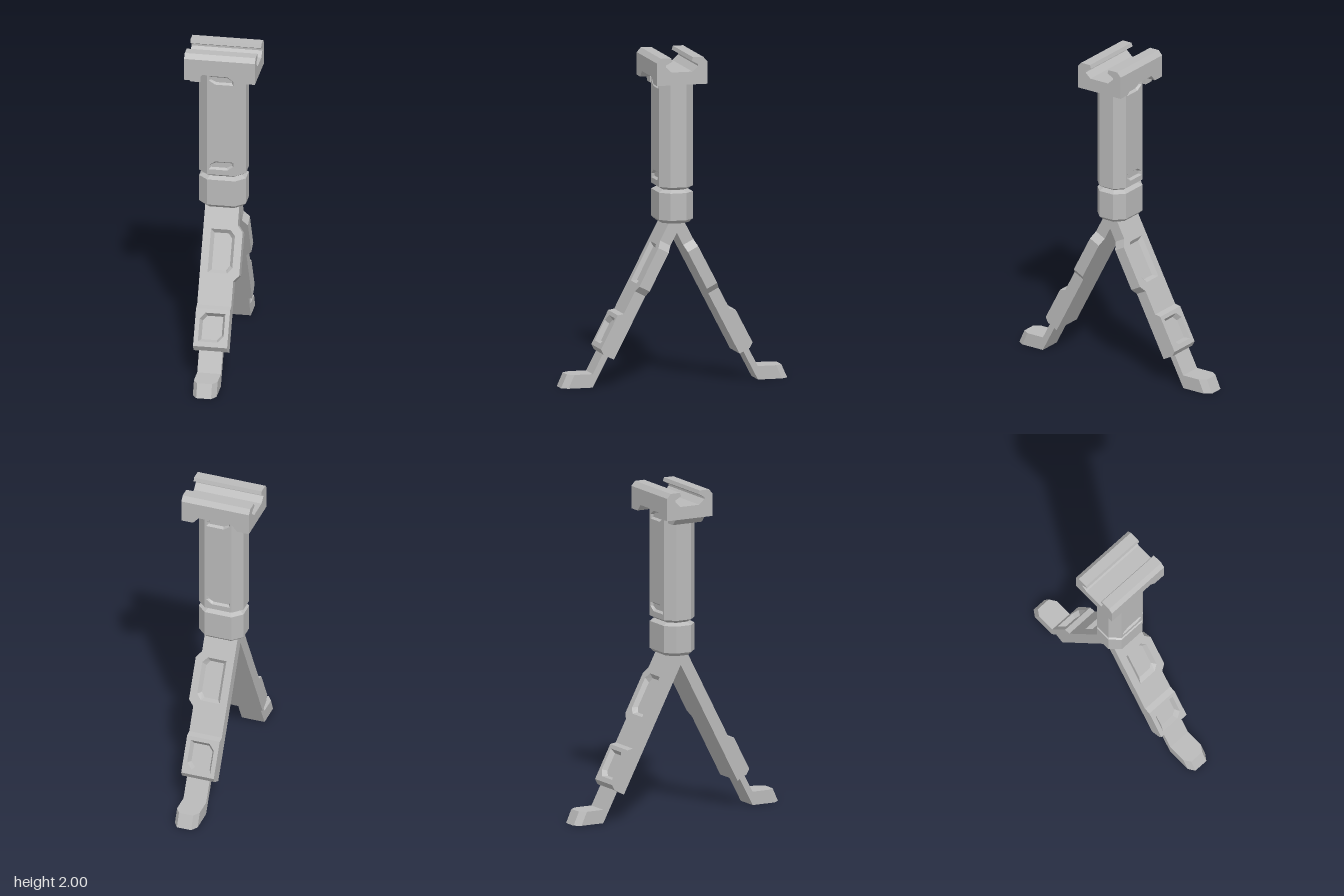
import * as THREE from 'three';

const grey = new THREE.MeshStandardMaterial({ color: 0xbababa });
grey.name = 'plainGrey';

const mesh = (name, geometry) => {
  const g = geometry.index ? geometry.toNonIndexed() : geometry;
  g.computeVertexNormals();
  const m = new THREE.Mesh(g, grey);
  m.name = name;
  return m;
};
const shapeOf = (pts, holes = []) => {
  const s = new THREE.Shape(pts.map(p => new THREE.Vector2(...p)));
  for (const h of holes) s.holes.push(new THREE.Path(h.map(p => new THREE.Vector2(...p))));
  return s;
};

// Outline in x,y pushed along z
const alongZ = (pts, z0, z1, holes) =>
  new THREE.ExtrudeGeometry(shapeOf(pts, holes), { depth: z1 - z0, bevelEnabled: false }).translate(0, 0, z0);
// Outline in z,y pushed along x
const alongX = (pts, x0, x1) =>
  alongZ(pts.map(([z, y]) => [-z, y]), x0, x1).rotateY(Math.PI / 2);
// Outline in x,z pushed along y
const alongY = (pts, y0, y1) =>
  alongZ(pts.map(([x, z]) => [x, -z]), y0, y1).rotateX(-Math.PI / 2);

const rect = (x0, x1, y0, y1) => [[x0, y0], [x1, y0], [x1, y1], [x0, y1]];

// Skin over rings of equal point count, optionally closed at both ends
function loft(rings, caps) {
  const out = [], n = rings[0].length, last = rings[rings.length - 1];
  const tri = (...p) => p.forEach(v => out.push(...v));
  for (let i = 0; i < rings.length - 1; i++) {
    for (let j = 0; j < n; j++) {
      const k = (j + 1) % n, a = rings[i], b = rings[i + 1];
      tri(a[j], a[k], b[k]);
      tri(a[j], b[k], b[j]);
    }
  }
  if (caps) for (let j = 1; j < n - 1; j++) {
    tri(rings[0][0], rings[0][j + 1], rings[0][j]);
    tri(last[0], last[j], last[j + 1]);
  }
  const g = new THREE.BufferGeometry();
  g.setAttribute('position', new THREE.Float32BufferAttribute(out, 3));
  return g;
}

// Sloped walls of a recess, from its rim down to its floor
function bezel(outline, zTop, depth, inset) {
  const xs = outline.map(p => p[0]), ys = outline.map(p => p[1]);
  const mid = v => (Math.min(...v) + Math.max(...v)) / 2;
  const half = v => (Math.max(...v) - Math.min(...v)) / 2;
  const shrink = (c, v) => mid(v) + (c - mid(v)) * (1 - inset / half(v));
  return loft([
    outline.map(([x, y]) => [x, y, zTop]),
    outline.map(([x, y]) => [shrink(x, xs), shrink(y, ys), zTop - depth]),
  ], false);
}

// Copy of a group reflected front to back, with corner order corrected
function mirrorZ(group, name) {
  group.updateMatrixWorld(true);
  const copy = new THREE.Group();
  copy.name = name;
  group.traverse(o => {
    if (!o.isMesh) return;
    const g = o.geometry.clone().applyMatrix4(o.matrixWorld).scale(1, 1, -1);
    const p = g.attributes.position, a = new THREE.Vector3(), b = new THREE.Vector3();
    for (let i = 0; i < p.count; i += 3) {
      a.fromBufferAttribute(p, i + 1);
      b.fromBufferAttribute(p, i + 2);
      p.setXYZ(i + 1, b.x, b.y, b.z);
      p.setXYZ(i + 2, a.x, a.y, a.z);
    }
    copy.add(mesh(o.name, g));
  });
  return copy;
}

// Rail clamp on top
function makeRail() {
  const rail = new THREE.Group();
  rail.name = 'railClamp';
  const half = [[0.157, 1.875], [0.157, 1.972], [0.132, 2], [0.068, 2], [0.06, 1.978],
    [0.1, 1.957], [0.1, 1.945], [0.065, 1.913]];
  const profile = [...half, ...half.map(([z, y]) => [-z, y]).reverse()];
  rail.add(mesh('railChannel', alongX(profile, -0.215, 0.215)));
  for (const s of [-1, 1]) {
    const foot = [[0.215, 1.875], [0.215, 1.835], [0.14, 1.835], [0.105, 1.875]];
    rail.add(mesh('railEnd', alongZ(foot.map(([x, y]) => [s * x, y]), -0.157, 0.157)));
  }
  const lip = [[-0.215, 1.836], [-0.185, 1.8], [-0.125, 1.8], [-0.125, 1.836]];
  rail.add(mesh('railLip', alongZ(lip, -0.1, 0.1)));
  return rail;
}

// Eight-sided grip with a collar below it
function makeGrip() {
  const grip = new THREE.Group();
  grip.name = 'grip';
  const w = 0.085, d = 0.105, floor = 0.09;
  const side = [[w, -floor], [w, -d], [0.142, -0.05], [0.142, 0.05], [w, d], [w, floor]];
  const core = [...side, ...side.map(([x, z]) => [-x, z]).reverse()];
  grip.add(mesh('gripCore', alongY(core, 1.2, 1.88)));

  // Front and back faces with two slots each
  const top = [[-0.035, 1.793], [0.075, 1.793], [0.075, 1.82], [0.04, 1.847], [-0.075, 1.847], [-0.075, 1.82]];
  const bottom = top.map(([x, y]) => [x, 3.08 - y]).reverse();
  const face = new THREE.Group();
  face.name = 'gripFrontFace';
  face.add(mesh('gripPlate', alongZ(rect(-w, w, 1.2, 1.88), floor, d, [top, bottom])));
  for (const s of [top, bottom]) face.add(mesh('gripSlot', bezel(s, d, d - floor, 0.011)));
  grip.add(face, mirrorZ(face, 'gripBackFace'));

  // Neck groove and collar
  const octagon = (y, inset) => {
    const x = 0.142 - inset, z = d - inset, cx = w - inset / 2, cz = 0.05 - inset / 2;
    return [[x, y, -cz], [x, y, cz], [cx, y, z], [-cx, y, z], [-x, y, cz], [-x, y, -cz], [-cx, y, -z], [cx, y, -z]];
  };
  const rings = [[1.2, 0], [1.182, 0.028], [1.165, 0], [1, 0], [0.98, 0.02]].map(r => octagon(...r));
  grip.add(mesh('collar', loft(rings, true)));
  return grip;
}

// Front leg: the tilted part uses y along the leg and z out of its outer face
function makeLeg() {
  const leg = new THREE.Group();
  leg.name = 'frontLeg';
  const upper = new THREE.Group();
  upper.name = 'upperLeg';
  upper.position.set(0, 0.98, 0.05);
  upper.rotation.x = -THREE.MathUtils.degToRad(27.5);
  const x0 = -0.105, x1 = 0.102, end = -0.878, t = 0.072, deep = 0.025, pad = 0.03;

  const window1 = [[-0.058, -0.41], [0.06, -0.41], [0.09, -0.375], [0.09, -0.182], [0.06, -0.147], [-0.058, -0.147]];
  const window2 = [[-0.078, -0.827], [0.04, -0.827], [0.075, -0.79], [0.075, -0.653], [-0.045, -0.653], [-0.078, -0.69]];
  upper.add(
    mesh('legCore', alongZ(rect(x0, x1, end, 0.05), -t, -deep)),
    mesh('legPlate', alongZ(rect(x0, x1, end, 0.05), -deep, 0, [window1])),
    mesh('legRecess', bezel(window1, 0, deep, 0.02)),
    mesh('legPad', alongZ(rect(x0, x1, -0.857, -0.629), 0, pad, [window2])),
    mesh('padRecess', bezel(window2, pad, pad, 0.016)),
    mesh('padUpperSlope', alongX([[0, -0.629], [0, -0.606], [pad, -0.629]], x0, x1)),
    mesh('padLowerSlope', alongX([[0, -0.857], [0, end], [pad, -0.857]], x0, x1)),
    mesh('sideBump', alongZ([[0.1, -0.113], [0.1, -0.457], [0.135, -0.417], [0.135, -0.16]], -t, 0)),
  );

  // Strut and foot
  const strut = [[0.515, 0], [0.515, 0.08], [0.437, 0.23], [0.4, 0.22]];
  const sole = (y, shift) => [[0.072, 0.515], [0.072, 0.665 - shift], [0.045, 0.705 - shift],
    [-0.045, 0.705 - shift], [-0.072, 0.665 - shift], [-0.072, 0.515]].map(([x, z]) => [x, y, z]);
  leg.add(
    upper,
    mesh('strut', alongX(strut, -0.072, 0.072)),
    mesh('foot', loft([sole(0.082, 0.037), sole(0, 0)], true)),
  );
  return leg;
}

export function createModel() {
  const model = new THREE.Group();
  model.name = 'foldingGripBipod';
  const leg = makeLeg();
  model.add(makeRail(), makeGrip(), leg, mirrorZ(leg, 'backLeg'));
  return model;
}
